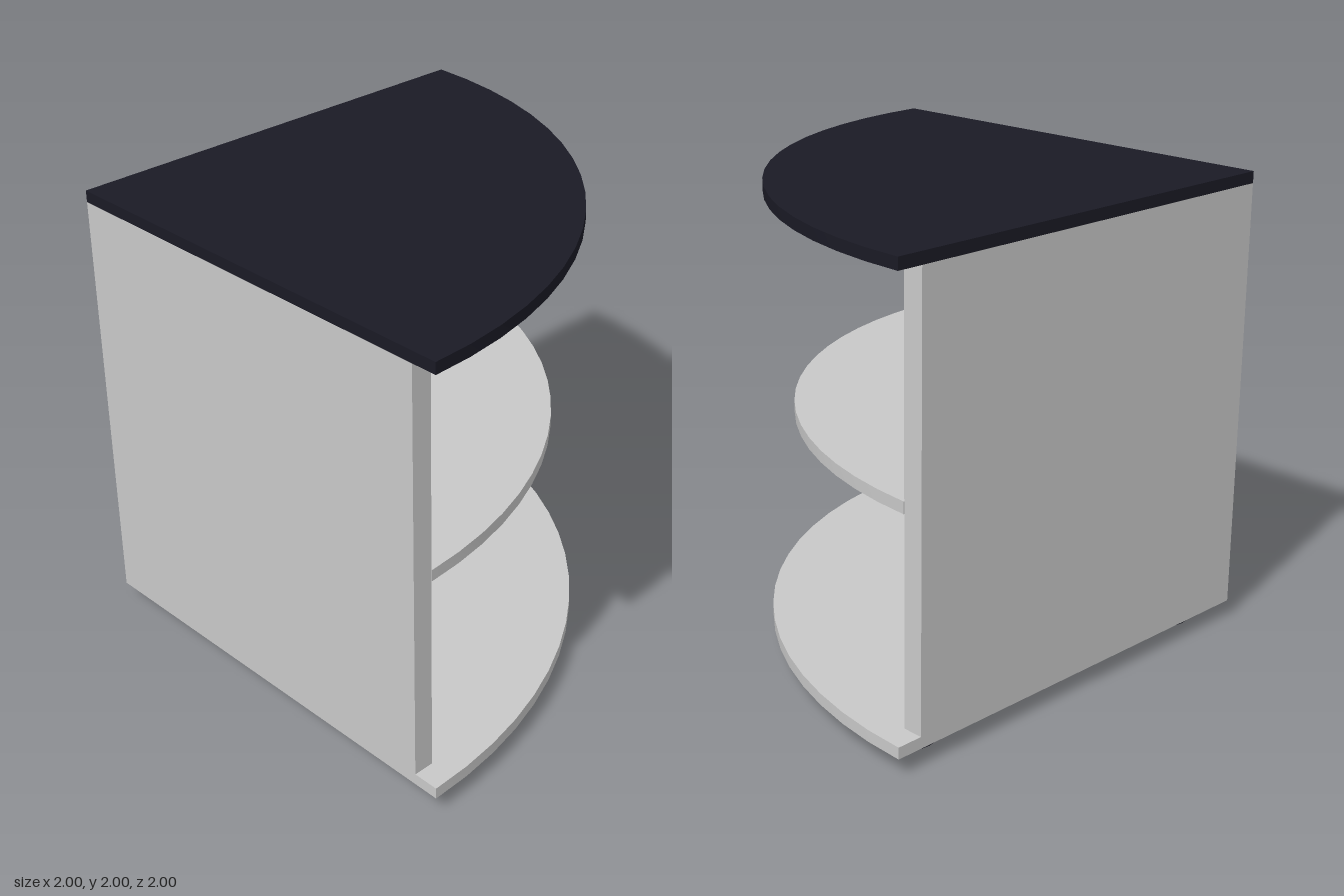
import * as THREE from 'three';
import { toCreasedNormals } from 'three/addons/utils/BufferGeometryUtils.js';

const WALL = 0.09, BOARD = 0.05;
const BASE_TOP = 0.126, SHELF_TOP = 1.051, HEIGHT = 2, PANEL = 1.885;

// Quarter-round board around the corner (-1, -1), trimmed by inset along both straight edges
function quarterBoard(radius, inset) {
  const a = Math.asin(inset / radius);
  const shape = new THREE.Shape();
  shape.moveTo(-1 + inset, -1 + inset);
  shape.lineTo(-1 + radius * Math.cos(a), -1 + inset);
  shape.absarc(-1, -1, radius, a, Math.PI / 2 - a, false);
  shape.lineTo(-1 + inset, -1 + inset);
  const geo = new THREE.ExtrudeGeometry(shape, { depth: BOARD, bevelEnabled: false, curveSegments: 9 });
  geo.rotateX(Math.PI / 2); // top face at y = 0, board hangs below
  return toCreasedNormals(geo, 0.3);
}

export function createModel() {
  const model = new THREE.Group();
  model.name = 'cornerShelf';
  const grey = new THREE.MeshStandardMaterial({ color: 0xc8c8c8 });
  grey.name = 'lightGrey';
  const dark = new THREE.MeshStandardMaterial({ color: 0x1a1a25 });
  dark.name = 'darkNavy';

  const add = (name, geo, mat, x, y, z) => {
    const mesh = new THREE.Mesh(geo, mat);
    mesh.name = name;
    mesh.position.set(x, y, z);
    model.add(mesh);
  };

  // Horizontal boards
  add('topBoard', quarterBoard(2, 0), dark, 0, HEIGHT, 0);
  add('middleShelf', quarterBoard(1.89, WALL), grey, 0, SHELF_TOP, 0);
  add('baseBoard', quarterBoard(2, 0), grey, 0, BASE_TOP, 0);

  // Two upright panels meeting in the corner
  const h = HEIGHT - BOARD - BASE_TOP, y = BASE_TOP + h / 2;
  add('backPanel', new THREE.BoxGeometry(PANEL - WALL, h, WALL), grey,
    -1 + (PANEL + WALL) / 2, y, -1 + WALL / 2);
  add('sidePanel', new THREE.BoxGeometry(WALL, h, PANEL), grey,
    -1 + WALL / 2, y, -1 + PANEL / 2);

  // Round feet
  const footHeight = BASE_TOP - BOARD;
  const foot = new THREE.CylinderGeometry(0.11, 0.11, footHeight, 24);
  [['cornerFoot', -0.8, -0.8], ['leftFoot', 0.755, -0.8], ['frontFoot', -0.8, 0.755]]
    .forEach(([name, x, z]) => add(name, foot, dark, x, footHeight / 2, z));

  return model;
}
